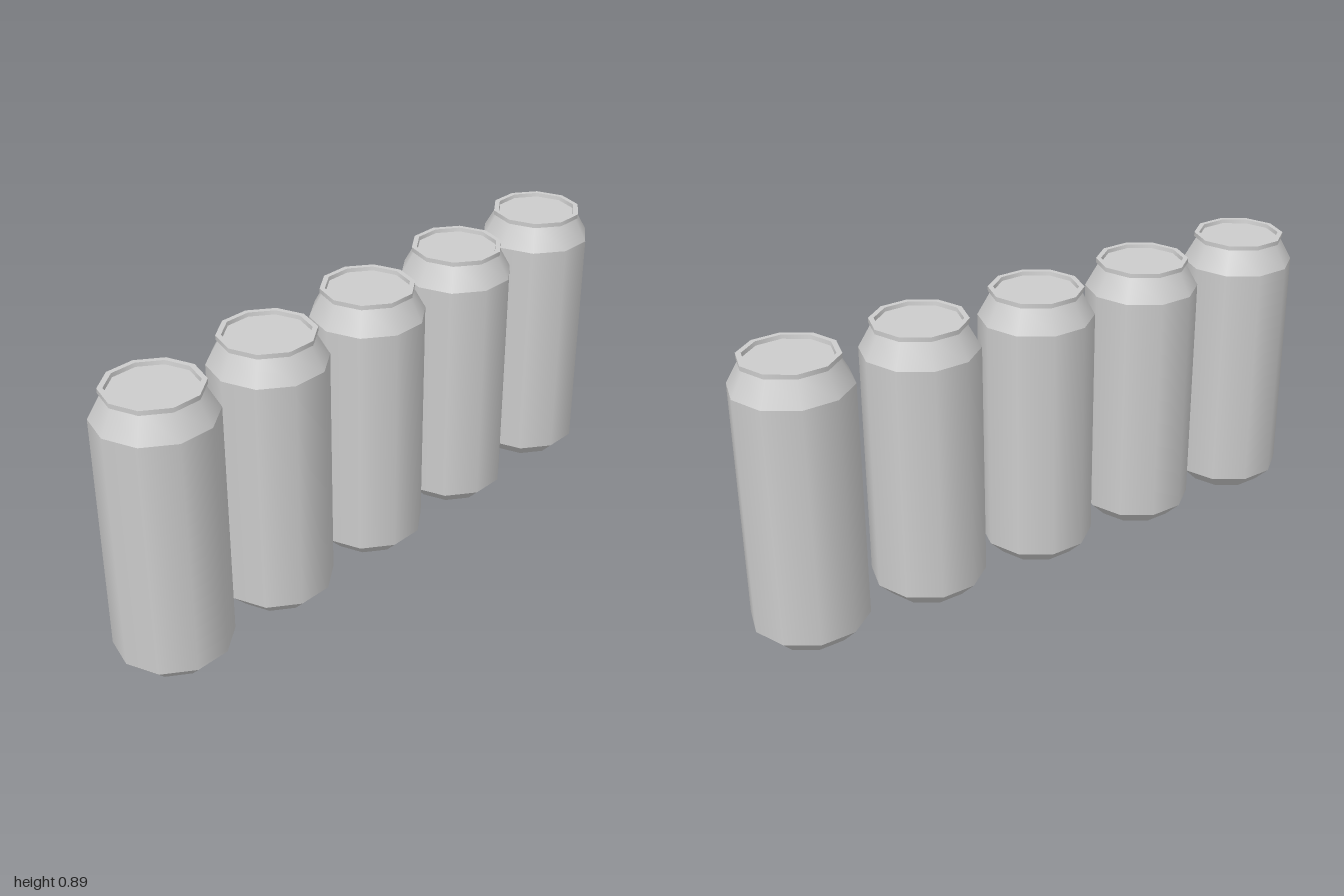
import * as THREE from 'three';

const SIDES = 10;
const CANS = 5;
const SPACING = 0.411;

// Profiles as [radius, height], running from the bottom centre up and round to the lid centre
const PARTS = {
  bottomDome: [[0, 0.028], [0.05, 0.024], [0.095, 0.013], [0.13, 0]],
  bottomBevel: [[0.13, 0], [0.178, 0.049]],
  body: [[0.178, 0.049], [0.178, 0.798]],
  shoulder: [[0.178, 0.798], [0.136, 0.874]],
  rimUnderside: [[0.136, 0.874], [0.145, 0.874]],
  rimOuter: [[0.145, 0.874], [0.145, 0.888]],
  rimTop: [[0.145, 0.888], [0.129, 0.888]],
  rimInner: [[0.129, 0.888], [0.127, 0.876]],
  lid: [[0.127, 0.876], [0, 0.876]],
};

export function createModel() {
  const model = new THREE.Group();
  model.name = 'canRow';
  const material = new THREE.MeshStandardMaterial({ color: 0xcccccc });

  // Separate lathes keep the edges between parts crisp, while the sides shade smoothly
  const geometries = Object.entries(PARTS).map(([name, profile]) => {
    const points = profile.map(([r, y]) => new THREE.Vector2(r, y));
    return [name, new THREE.LatheGeometry(points, SIDES, Math.PI / 2)];
  });

  // Row of identical cans
  for (let i = 0; i < CANS; i++) {
    const can = new THREE.Group();
    can.name = `can${i + 1}`;
    can.position.x = (i - (CANS - 1) / 2) * SPACING;
    for (const [name, geometry] of geometries) {
      const mesh = new THREE.Mesh(geometry, material);
      mesh.name = name;
      can.add(mesh);
    }
    model.add(can);
  }
  return model;
}
